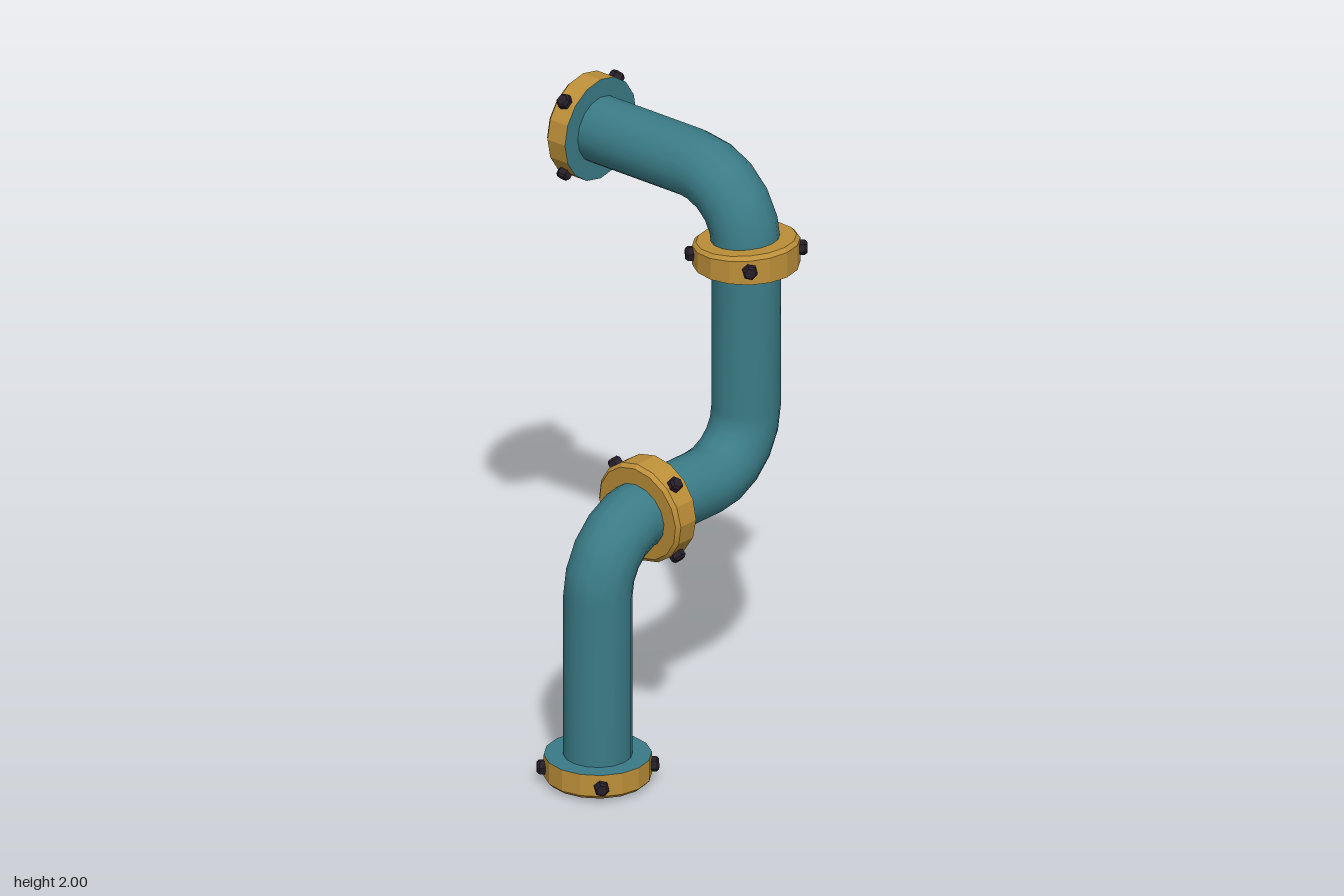
import * as THREE from 'three';
import { toCreasedNormals } from 'three/addons/utils/BufferGeometryUtils.js';

const V = (x, y, z) => new THREE.Vector3(x, y, z);
const SIDES = 16, PIPE_R = 0.11, FLANGE_R = 0.171, FLANGE_H = 0.085;

const material = (name, color) => {
  const m = new THREE.MeshStandardMaterial({ color });
  m.name = name;
  return m;
};

// Quarter bend between two points, rounded about the corner they share
function bend(from, corner, to, steps = 5) {
  const centre = from.clone().add(to).sub(corner);
  const a = from.clone().sub(centre), b = to.clone().sub(centre);
  const rings = [];
  for (let i = 0; i <= steps; i++) {
    const t = (i / steps) * Math.PI / 2;
    rings.push({
      p: centre.clone().addScaledVector(a, Math.cos(t)).addScaledVector(b, Math.sin(t)),
      t: b.clone().multiplyScalar(Math.cos(t)).addScaledVector(a, -Math.sin(t)).normalize(),
    });
  }
  return rings;
}

// Round section swept through rings, the frame carried from one to the next
function sweep(rings) {
  const pos = [], index = [];
  const u = V(0, 0, 1), v = V(1, 0, 0), turn = new THREE.Quaternion();
  rings.forEach((ring, i) => {
    if (i > 0) {
      turn.setFromUnitVectors(rings[i - 1].t, ring.t);
      u.applyQuaternion(turn);
      v.applyQuaternion(turn);
    }
    for (let j = 0; j < SIDES; j++) {
      const a = (j / SIDES) * Math.PI * 2;
      const q = ring.p.clone()
        .addScaledVector(u, Math.cos(a) * PIPE_R)
        .addScaledVector(v, Math.sin(a) * PIPE_R);
      pos.push(q.x, q.y, q.z);
      if (i > 0) {
        const k = (j + 1) % SIDES, lo = (i - 1) * SIDES, hi = i * SIDES;
        index.push(lo + j, lo + k, hi + k, lo + j, hi + k, hi + j);
      }
    }
  });
  const g = new THREE.BufferGeometry();
  g.setAttribute('position', new THREE.Float32BufferAttribute(pos, 3));
  g.setIndex(index);
  g.computeVertexNormals();
  return g;
}

export function createModel() {
  const teal = material('tealPaint', 0x3a7b86);
  const gold = material('brass', 0xbd9039);
  const dark = material('darkIron', 0x261e28);
  const model = new THREE.Group();
  model.name = 'pipeRun';

  const add = (parent, name, geometry, mat) => {
    const mesh = new THREE.Mesh(geometry, mat);
    mesh.name = name;
    parent.add(mesh);
    return mesh;
  };

  // Pipe: up, across, up, then backwards
  const x = 0.355, z = 0.264, up = V(0, 1, 0);
  add(model, 'pipe', sweep([
    { p: V(-x, 0.05, z), t: up },
    ...bend(V(-x, 0.64, z), V(-x, 0.86, z), V(-0.13, 0.86, z)),
    ...bend(V(0.15, 0.86, z), V(x, 0.86, z), V(x, 1.06, z)),
    ...bend(V(x, 1.61, z), V(x, 1.83, z), V(x, 1.83, 0.04)),
    { p: V(x, 1.83, -0.38), t: V(0, 0, -1) },
  ]), teal);

  // Flange: local y runs away from the straight pipe, local x to the outside of the bend
  function flange(name, origin, axis, outer, tilt, isEnd) {
    const group = new THREE.Group();
    group.name = name;
    const basis = new THREE.Matrix4().makeBasis(outer, axis, outer.clone().cross(axis));
    group.quaternion.setFromRotationMatrix(basis);
    group.position.copy(origin);
    model.add(group);

    const H = FLANGE_H;
    const profile = [[FLANGE_R, 0], [FLANGE_R, H - 0.012], [FLANGE_R - 0.012, H]];
    if (isEnd) profile.push([0.075, H + 0.008], [0, H + 0.008]);
    else profile.push([PIPE_R - 0.01, H]);
    const body = new THREE.LatheGeometry(profile.map(([r, y]) => new THREE.Vector2(r, y)), SIDES);
    const p = body.attributes.position;
    for (let i = 0; i < p.count; i++) {
      p.setY(i, p.getY(i) + tilt * p.getX(i) * p.getY(i) / H);
    }
    add(group, 'flangeBody', toCreasedNormals(body, 0.3), gold);
    add(group, 'flangeBackFace',
      new THREE.RingGeometry(PIPE_R - 0.01, FLANGE_R, SIDES).rotateX(Math.PI / 2), teal);
    if (isEnd) {
      const bore = add(group, 'boreDisc',
        new THREE.CylinderGeometry(0.058, 0.058, 0.002, 12), dark);
      bore.position.y = H + 0.009;
    }

    // Four hexagonal bolts around the rim
    for (let i = 0; i < 4; i++) {
      const a = Math.PI / 4 + i * Math.PI / 2;
      const dir = V(Math.cos(a), 0, Math.sin(a));
      const bolt = add(group, 'bolt', toCreasedNormals(new THREE.LatheGeometry([
        [0.025, -0.03], [0.025, 0.014], [0.018, 0.022], [0, 0.022],
      ].map(([r, y]) => new THREE.Vector2(r, y)), 6), 0.3), dark);
      bolt.quaternion.setFromUnitVectors(up, dir);
      bolt.position.copy(dir).multiplyScalar(FLANGE_R);
      bolt.position.y = H / 2 + tilt * dir.x * FLANGE_R / 2;
    }
  }

  flange('baseFlange', V(-x, 0.095, z), V(0, -1, 0), V(1, 0, 0), 0, true);
  flange('lowerFlange', V(-0.08, 0.86, z), V(-1, 0, 0), V(0, 1, 0), 0.09, false);
  flange('upperFlange', V(x, 1.55, z), V(0, 1, 0), V(0, 0, 1), 0.09, false);
  flange('endFlange', V(x, 1.83, -0.345), V(0, 0, -1), V(0, 1, 0), 0, true);
  return model;
}
